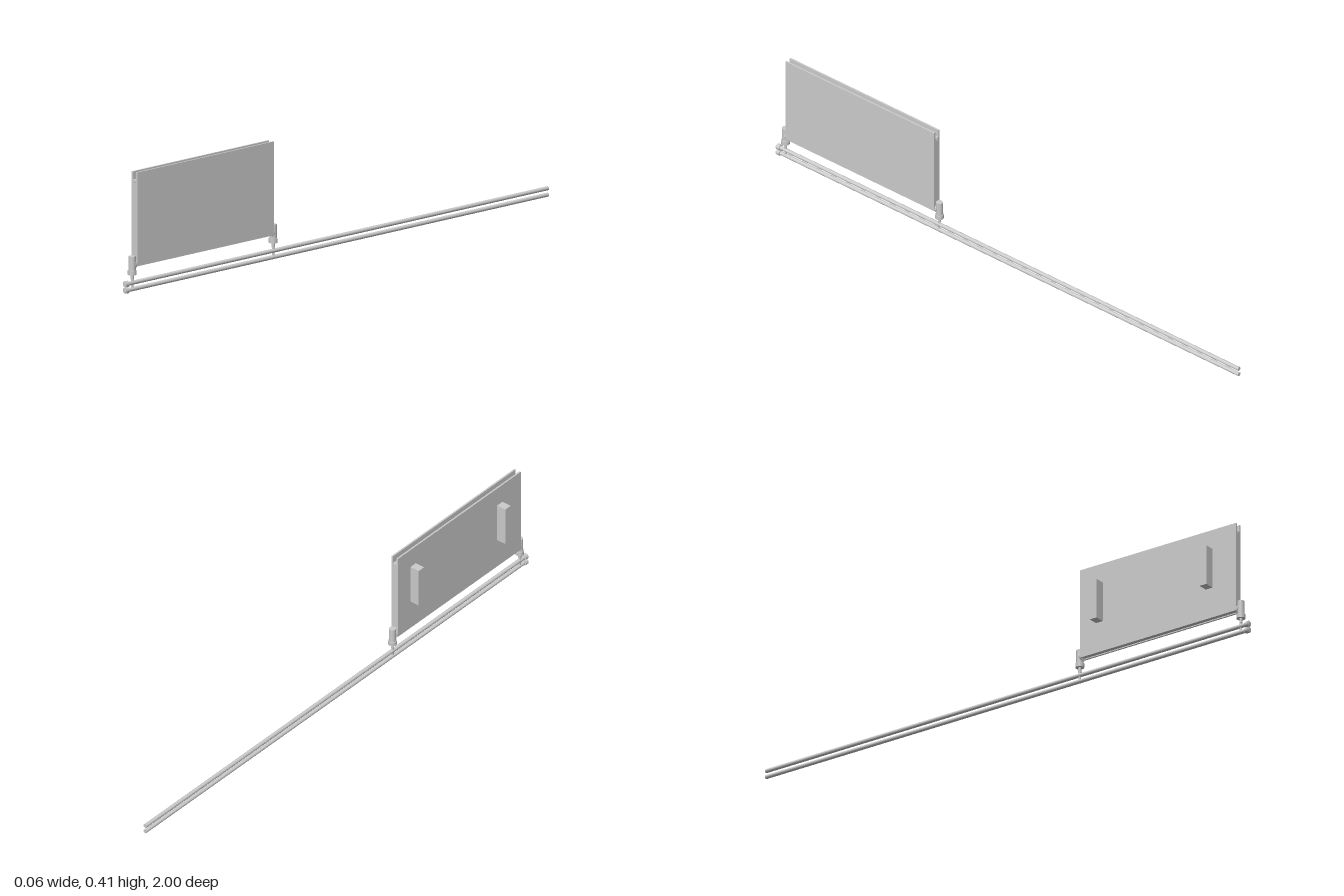
import * as THREE from 'three';

const CX = 0.017; // centre plane of radiator and pipes
const Z0 = 0.308, Z1 = 0.952; // radiator ends

export function createModel() {
  const model = new THREE.Group();
  const grey = new THREE.MeshStandardMaterial({ color: 0xcccccc });

  const add = (parent, name, geometry, x, y, z) => {
    const mesh = new THREE.Mesh(geometry, grey);
    mesh.name = name;
    mesh.position.set(x, y, z);
    parent.add(mesh);
    return mesh;
  };
  const box = (parent, name, x0, x1, y0, y1, z0, z1) =>
    add(parent, name, new THREE.BoxGeometry(x1 - x0, y1 - y0, z1 - z0),
      (x0 + x1) / 2, (y0 + y1) / 2, (z0 + z1) / 2);
  const upright = (parent, name, r, y0, y1, z, sides = 24) =>
    add(parent, name, new THREE.CylinderGeometry(r, r, y1 - y0, sides), CX, (y0 + y1) / 2, z);
  const along = (parent, name, r, y, z0, z1, sides = 24) => {
    const g = new THREE.CylinderGeometry(r, r, z1 - z0, sides);
    return add(parent, name, g.rotateX(Math.PI / 2), CX, y, (z0 + z1) / 2);
  };

  // Two thin panels around a lower, recessed core
  const radiator = new THREE.Group();
  radiator.name = 'radiator';
  model.add(radiator);
  box(radiator, 'wallPanel', 0.003, 0.009, 0.09, 0.413, Z0, Z1);
  box(radiator, 'roomPanel', 0.025, 0.031, 0.09, 0.413, Z0, Z1);
  box(radiator, 'core', 0.009, 0.025, 0.094, 0.386, Z0, Z1);

  // Wall brackets
  for (const z of [0.388, 0.842])
    box(radiator, 'wallBracket', -0.033, 0.003, 0.2, 0.343, z - 0.014, z + 0.014);

  // Ring-shaped plug and valve assembly at each end
  for (const [end, dir] of [[Z0, -1], [Z1, 1]]) {
    const z = end + dir * 0.011;
    const plug = add(radiator, 'airVent', new THREE.TorusGeometry(0.0038, 0.001, 8, 20), CX, 0.38, end);
    plug.scale.z = 1.5;

    const valve = new THREE.Group();
    valve.name = 'valve';
    model.add(valve);
    const near = end - dir * 0.002, far = end + dir * 0.007;
    along(valve, 'unionNut', 0.015, 0.097, Math.min(near, far), Math.max(near, far), 6)
      .rotation.z = Math.PI / 6;
    upright(valve, 'valveBody', 0.012, 0.074, 0.125, z);
    upright(valve, 'collar', 0.015, 0.061, 0.076, z);
    upright(valve, 'stemSleeve', 0.0055, 0.044, 0.062, z);
    upright(valve, 'riserPipe', 0.0042, 0.011, 0.046, z);
  }

  // Supply and return pipes with end fittings
  for (const y of [0.011, 0.033]) {
    along(model, 'pipe', 0.007, y, -1, 0.995);
    along(model, 'endFitting', 0.0105, y, 0.984, 0.997);
    along(model, 'endPlug', 0.0075, y, 0.99, 1);
  }
  return model;
}
